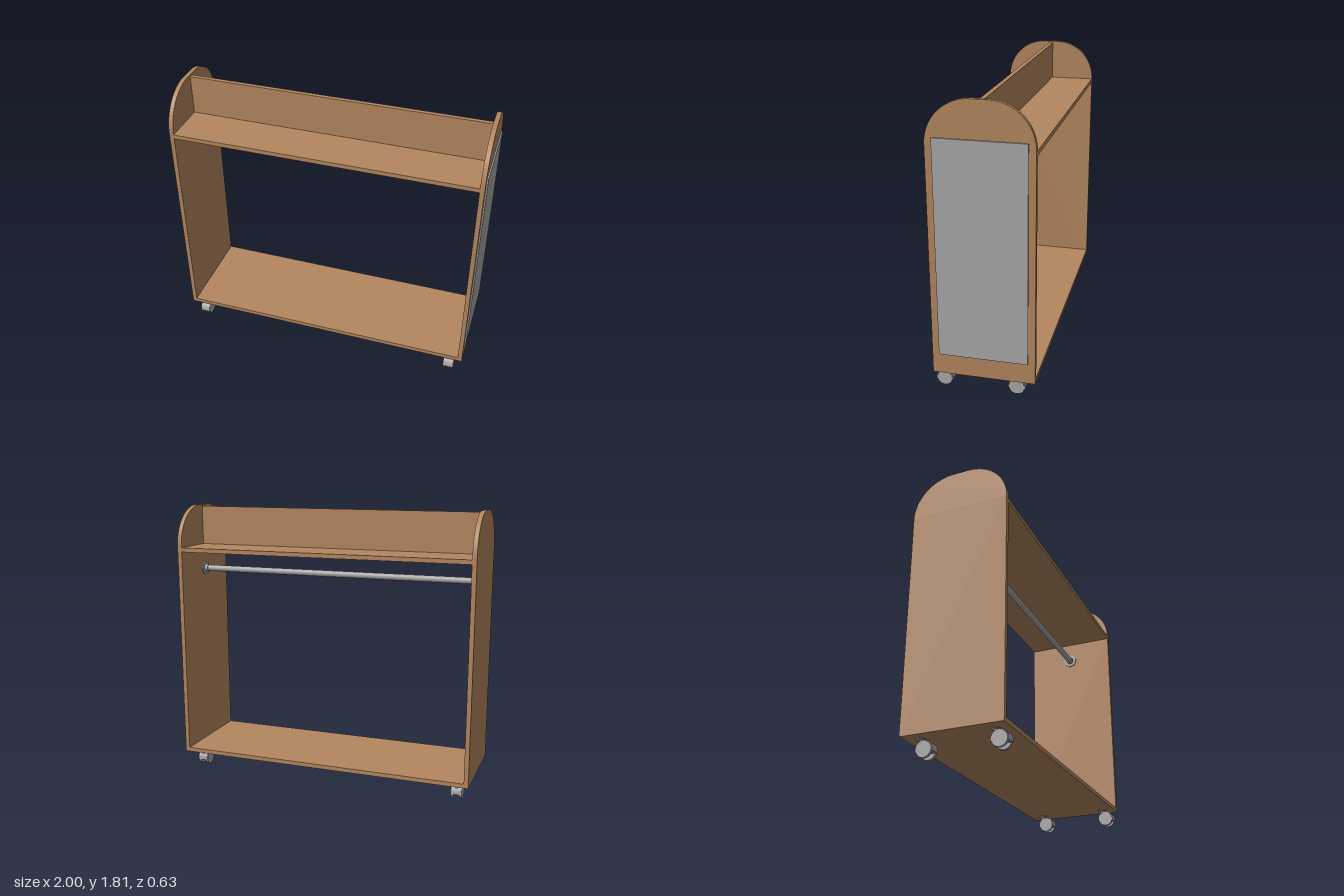
import * as THREE from 'three';
import { toCreasedNormals } from 'three/addons/utils/BufferGeometryUtils.js';

const wood = new THREE.MeshStandardMaterial({ color: 0xb4875f });
wood.name = 'wood';
const metal = new THREE.MeshStandardMaterial({ color: 0xaaaaaa });
metal.name = 'grey metal';

function add(parent, name, geometry, material, x = 0, y = 0, z = 0) {
  const mesh = new THREE.Mesh(geometry, material);
  mesh.name = name;
  mesh.position.set(x, y, z);
  parent.add(mesh);
  return mesh;
}

// Box given by its limits on each axis
function addBox(parent, name, material, [x0, x1], [y0, y1], [z0, z1]) {
  return add(parent, name, new THREE.BoxGeometry(x1 - x0, y1 - y0, z1 - z0), material,
    (x0 + x1) / 2, (y0 + y1) / 2, (z0 + z1) / 2);
}

// Profile drawn in (z, y), extruded along x and centred on x = 0
function extrudeX(shape, width) {
  const g = new THREE.ExtrudeGeometry(shape, { depth: width, bevelEnabled: false, curveSegments: 24 });
  g.translate(0, 0, -width / 2);
  g.rotateY(-Math.PI / 2);
  return toCreasedNormals(g, 0.5);
}

// Cylinder lying along x
function cylinderX(radius, length, segments = 32) {
  return new THREE.CylinderGeometry(radius, radius, length, segments).rotateZ(Math.PI / 2);
}

// Twin-wheel caster; origin on the floor under its stem
function makeCaster() {
  const caster = new THREE.Group();
  const wheelZ = 0.036, wheelY = 0.05;
  for (const side of [-1, 1]) {
    add(caster, 'wheel', cylinderX(0.048, 0.018), metal, side * 0.026, wheelY, wheelZ);
  }
  // Central housing
  const core = new THREE.Shape();
  core.absarc(0, 0, 0.047, -0.3, Math.PI + 0.3, false);
  core.closePath();
  add(caster, 'housing', extrudeX(core, 0.034), metal, 0, wheelY, wheelZ);
  // Curved fender over both wheels
  const fender = new THREE.Shape();
  fender.absarc(0, 0, 0.053, -0.2, Math.PI + 0.2, false);
  fender.absarc(0, 0, 0.049, Math.PI + 0.2, -0.2, true);
  fender.closePath();
  add(caster, 'fender', extrudeX(fender, 0.066), metal, 0, wheelY, wheelZ);
  // Swivel stem and mounting plate
  add(caster, 'stem', new THREE.CylinderGeometry(0.01, 0.01, 0.05, 20), metal, 0, 0.095, 0);
  add(caster, 'mountingPlate', new THREE.CylinderGeometry(0.03, 0.03, 0.004, 24), metal, 0, 0.118, 0);
  return caster;
}

export function createModel() {
  const model = new THREE.Group();
  model.name = 'garmentRack';
  const depth = 0.315, bottom = 0.12, top = 1.815, r = 0.265;
  const inside = [-0.97, 0.962], fullDepth = [-depth, depth];

  // Side panels with rounded tops
  const panel = new THREE.Shape();
  panel.moveTo(-depth, bottom);
  panel.lineTo(depth, bottom);
  panel.lineTo(depth, top - r);
  panel.absarc(depth - r, top - r, r, 0, Math.PI / 2, false);
  panel.absarc(r - depth, top - r, r, Math.PI / 2, Math.PI, false);
  panel.closePath();
  const panelGeometry = extrudeX(panel, 0.029);
  add(model, 'rightPanel', panelGeometry, wood, -0.9845);
  add(model, 'leftPanel', panelGeometry, wood, 0.9765);

  // Boards between the panels
  addBox(model, 'base', wood, inside, [bottom, 0.148], fullDepth);
  addBox(model, 'shelf', wood, inside, [1.517, 1.545], fullDepth);
  addBox(model, 'divider', wood, inside, [1.545, 1.803], [-0.014, 0.014]);

  // Mirror on the outer face of the left panel
  addBox(model, 'mirror', metal, [0.991, 1.0], [0.25, 1.59], [-0.272, 0.272]);

  // Hanging rod with collars and wall flanges
  const rod = new THREE.Group();
  rod.name = 'hangingRod';
  rod.position.y = 1.375;
  model.add(rod);
  add(rod, 'rod', cylinderX(0.021, 1.932), metal, -0.004);
  for (const side of [-1, 1]) {
    add(rod, 'flange', cylinderX(0.047, 0.008), metal, -0.004 + side * 0.962);
    add(rod, 'collar', cylinderX(0.026, 0.024), metal, -0.004 + side * 0.947);
  }

  // Four casters, all trailing the same way
  for (const x of [-0.91, 0.901]) {
    for (const z of [0.227, -0.226]) {
      const caster = makeCaster();
      caster.name = (z > 0 ? 'front' : 'back') + (x > 0 ? 'Left' : 'Right') + 'Caster';
      caster.position.set(x, 0, z);
      model.add(caster);
    }
  }
  return model;
}
